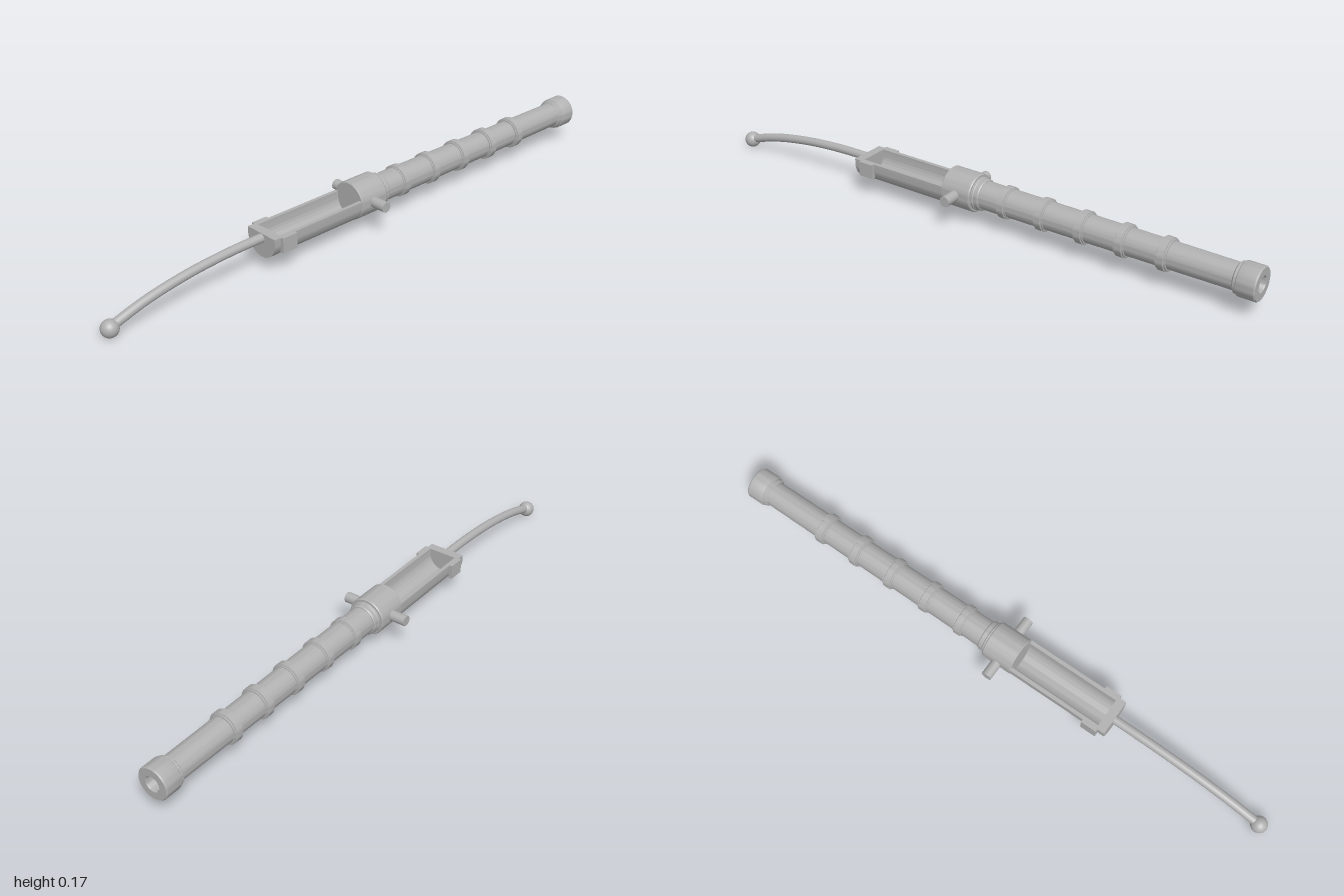
import * as THREE from 'three';
import { toCreasedNormals } from 'three/addons/utils/BufferGeometryUtils.js';

const AXIS = 0.105; // height of the barrel axis

export function createModel() {
  const model = new THREE.Group();
  model.name = 'swivelGun';
  const iron = new THREE.MeshStandardMaterial({ color: 0xb0b0b0 });
  iron.name = 'grey iron';

  const add = (name, geometry, x = 0, y = AXIS, z = 0) => {
    const mesh = new THREE.Mesh(geometry, iron);
    mesh.name = name;
    mesh.position.set(x, y, z);
    model.add(mesh);
    return mesh;
  };
  // Profiles are [radius, distance towards the muzzle]
  const lathe = (profile) => toCreasedNormals(
    new THREE.LatheGeometry(profile.map(([r, d]) => new THREE.Vector2(r, d)), 48).rotateX(-Math.PI / 2), 0.5);
  const extrude = (shape, depth) => toCreasedNormals(
    new THREE.ExtrudeGeometry(shape, { depth, bevelEnabled: false, curveSegments: 32 }), 0.5);

  // Tapered barrel with muzzle ring and open bore
  add('barrel', lathe([
    [0, 0.02], [0.047, 0.02], [0.042, 0.925], [0.049, 0.93], [0.049, 0.938], [0.053, 0.941],
    [0.054, 0.945], [0.054, 0.996], [0.051, 1], [0.026, 1], [0.024, 0.995], [0.024, 0.1], [0, 0.1],
  ]));

  // Reinforcing bands
  for (const d of [0.145, 0.283, 0.425, 0.565, 0.703]) {
    add('barrelBand', lathe([
      [0.04, -0.017], [0.049, -0.017], [0.049, -0.013], [0.053, -0.011],
      [0.053, 0.011], [0.049, 0.013], [0.049, 0.017], [0.04, 0.017],
    ]), 0, AXIS, -d);
  }

  // Thick breech ring with a stepped shoulder
  add('breechRing', lathe([
    [0, -0.073], [0.0605, -0.073], [0.0635, -0.07], [0.0635, 0.032], [0.061, 0.036],
    [0.055, 0.036], [0.055, 0.042], [0.052, 0.045], [0.052, 0.058], [0.049, 0.062], [0.04, 0.062],
  ]));

  // Trunnion pins
  for (const side of [1, -1]) {
    const pin = new THREE.CylinderGeometry(0.0175, 0.0175, 0.066, 24).rotateZ(Math.PI / 2);
    add(side > 0 ? 'leftTrunnion' : 'rightTrunnion', pin, side * 0.083, AXIS, 0.02);
  }

  // Open loading trough, U-shaped in section
  const top = 0.017, outer = 0.0615, inner = 0.049;
  const trough = new THREE.Shape();
  trough.moveTo(-outer, top);
  trough.lineTo(-outer, 0);
  trough.absarc(0, 0, outer, Math.PI, Math.PI * 2, false);
  trough.lineTo(outer, top);
  trough.lineTo(inner, top);
  trough.lineTo(inner, 0);
  trough.absarc(0, 0, inner, 0, -Math.PI, true);
  trough.lineTo(-inner, top);
  trough.closePath();
  add('trough', extrude(trough, 0.335), 0, AXIS, 0.07);

  // Solid wall closing the trough
  const wall = new THREE.Shape();
  wall.moveTo(-0.0625, top);
  wall.lineTo(-0.0625, 0);
  wall.absarc(0, 0, 0.0625, Math.PI, Math.PI * 2, false);
  wall.lineTo(0.0625, top);
  wall.closePath();
  add('troughEndWall', extrude(wall, 0.03), 0, AXIS, 0.4);

  // Side lugs at the end of the trough
  for (const side of [1, -1]) {
    add(side > 0 ? 'leftLug' : 'rightLug',
      new THREE.BoxGeometry(0.014, 0.05, 0.055), side * 0.065, 0.097, 0.378);
  }

  // Curved tiller with ball end
  const path = new THREE.CatmullRomCurve3([
    [0.106, 0.42], [0.104, 0.55], [0.092, 0.7], [0.066, 0.85], [0.03, 0.973],
  ].map(([y, z]) => new THREE.Vector3(0, y, z)));
  add('tiller', new THREE.TubeGeometry(path, 32, 0.0145, 20), 0, 0, 0);
  add('tillerBall', new THREE.SphereGeometry(0.0273, 32, 20), 0, 0.0275, 0.9727);

  return model;
}
